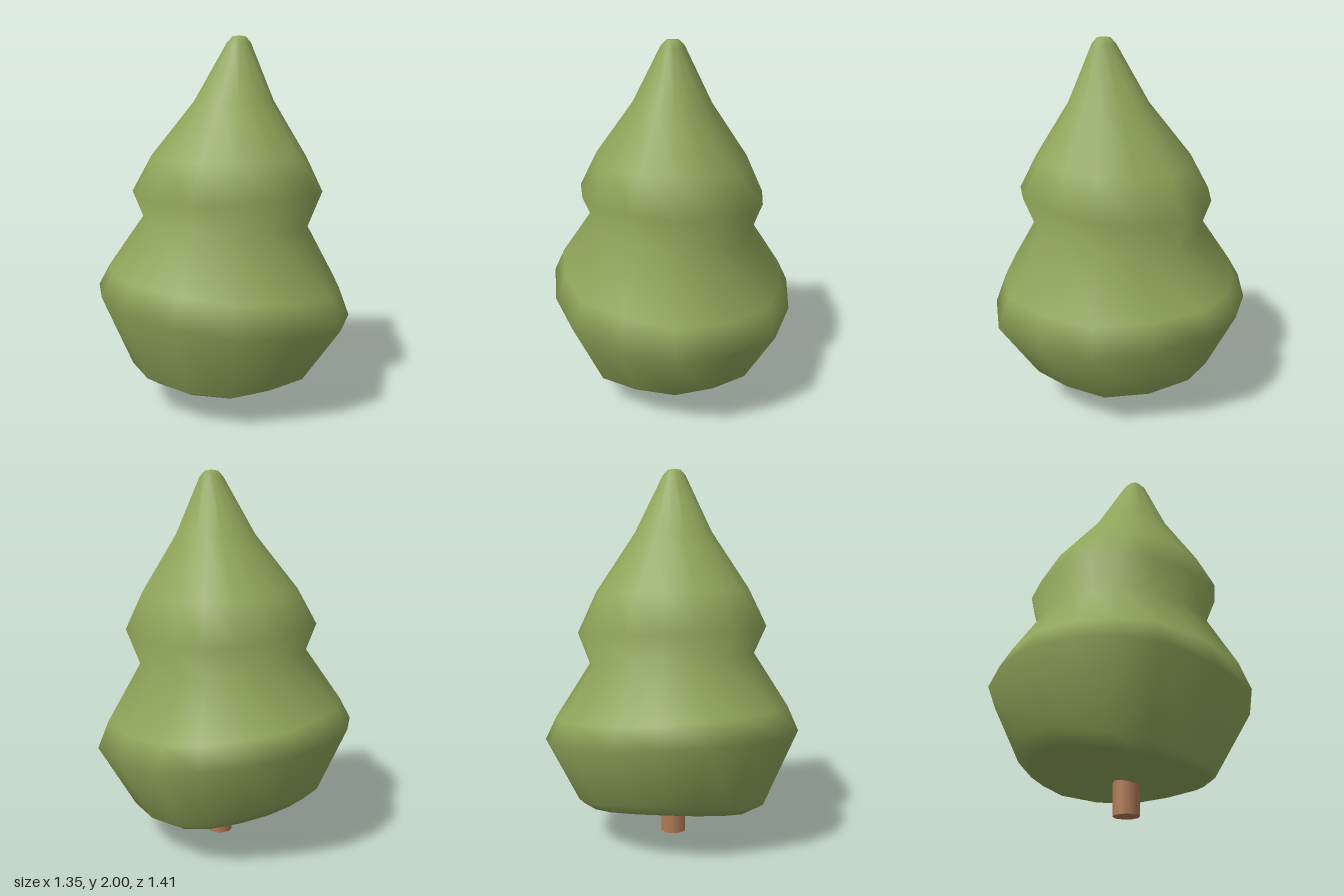
import * as THREE from 'three';
import { mergeVertices } from 'three/addons/utils/BufferGeometryUtils.js';

// Half outline of the foliage seen from above, back to front, as [x, z]
const HALF = [
  [0, -0.705], [0.24, -0.67], [0.45, -0.55], [0.6, -0.385], [0.675, -0.18],
  [0.64, 0.135], [0.525, 0.43], [0.28, 0.605], [0, 0.705],
];
const OUTLINE = [...HALF, ...HALF.slice(1, -1).reverse().map(([x, z]) => [-x, z])];

// Rings from bottom to top: [scale, z offset, height, tilt along x, tilt along z, bow along z]
const RINGS = [
  [0, 0.03, 0.155, 0, 0, 0],
  [0.65, -0.02, 0.165, 0, -0.07, 0.27],
  [0.74, -0.035, 0.2, 0, -0.1, 0.25],
  [1, 0, 0.583, -0.06, -0.092, 0.02],
  [0.915, 0, 0.715, -0.07, -0.06, 0.02],
  [0.65, 0, 1.0, -0.08, -0.015, 0.15],
  [0.742, 0.015, 1.16, -0.05, 0.03, 0.15],
  [0.6, 0.02, 1.365, -0.035, 0.02, 0.1],
  [0.305, 0.045, 1.665, -0.02, 0.03, 0],
  [0.09, 0.07, 1.965, 0, 0, 0],
  [0.05, 0.07, 1.995, 0, 0, 0],
  [0, 0.07, 2, 0, 0, 0],
];

function foliageGeometry() {
  const positions = [];
  const index = [];
  const n = OUTLINE.length;
  for (const [s, cz, y, tx, tz, bow] of RINGS) {
    for (const [ox, oz] of OUTLINE) {
      const x = ox * s;
      const z = oz * s + cz;
      positions.push(x, y + tx * x + tz * z + bow * z * z, s === 0 ? cz : z);
    }
  }
  for (let k = 0; k < RINGS.length - 1; k++) {
    for (let i = 0; i < n; i++) {
      const a = k * n + i;
      const b = k * n + (i + 1) % n;
      // the first and last bands are fans around a single point
      if (k < RINGS.length - 2) index.push(a, a + n, b + n);
      if (k > 0) index.push(a, b + n, b);
    }
  }
  const g = new THREE.BufferGeometry();
  g.setAttribute('position', new THREE.Float32BufferAttribute(positions, 3));
  g.setIndex(index);
  const merged = mergeVertices(g, 1e-5);
  merged.computeVertexNormals();
  return merged;
}

export function createModel() {
  const model = new THREE.Group();
  model.name = 'tree';

  // Two-tiered, slightly lopsided foliage
  const foliage = new THREE.Mesh(
    foliageGeometry(),
    new THREE.MeshStandardMaterial({ color: 0x8fa65a }),
  );
  foliage.name = 'foliage';
  model.add(foliage);

  // Short trunk reaching up into the foliage
  const trunk = new THREE.Mesh(
    new THREE.CylinderGeometry(0.069, 0.069, 0.3, 10),
    new THREE.MeshStandardMaterial({ color: 0xb07a56 }),
  );
  trunk.name = 'trunk';
  trunk.position.set(0, 0.15, 0.01);
  model.add(trunk);

  return model;
}
